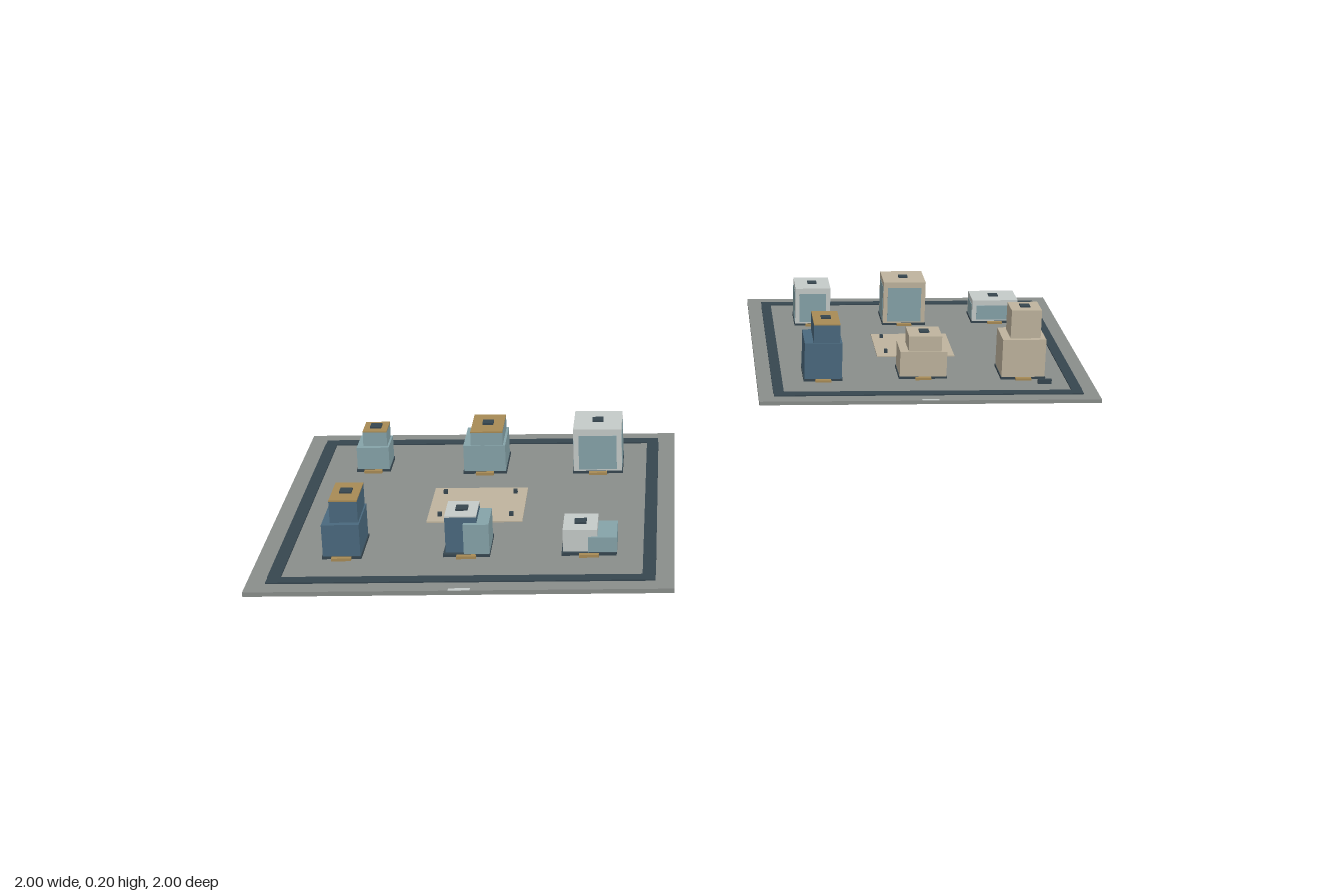
import * as THREE from 'three';

const COLORS = {
  ground: 0x8a8e8b, dark: 0x36464f, sand: 0xbfb49e, navy: 0x4a697e,
  mist: 0x86a3a9, white: 0xc5cbc9, ochre: 0xa88b55,
};
const materials = {};
for (const key in COLORS) materials[key] = new THREE.MeshStandardMaterial({ color: COLORS[key] });

const GROUND = 0.01;  // top of the ground slab
const PAD = 0.016;    // top of each foundation

// box given by its centre in plan and its bottom and top heights
function box(parent, name, color, x, z, w, d, y0, y1) {
  const mesh = new THREE.Mesh(new THREE.BoxGeometry(w, y1 - y0, d), materials[color]);
  mesh.position.set(x, (y0 + y1) / 2, z);
  mesh.name = name;
  parent.add(mesh);
  return mesh;
}

// glazed panels on the four walls, leaving a frame around them
function addPanels(parent, x, z, w, d, top) {
  const t = 0.002, y0 = PAD + 0.004, y1 = top - 0.016;
  for (const s of [-1, 1]) {
    box(parent, 'windowPanel', 'mist', x, z + s * d / 2, w - 0.024, t, y0, y1);
    box(parent, 'windowPanel', 'mist', x + s * w / 2, z, t, d - 0.024, y0, y1);
  }
}

// a building: body volume, optional taller tower, roof vent, foundation and doorstep
function addBuilding(parent, { name, pad, body, tower }) {
  const g = new THREE.Group();
  g.name = name;
  const [px, pz, pw, pd] = pad || [body.at[0], body.at[1], body.size[0] + 0.004, body.size[1] + 0.004];
  box(g, 'foundation', 'dark', px, pz, pw, pd, GROUND, PAD);
  box(g, 'doorstep', 'ochre', px, pz + pd / 2 + 0.005, 0.042, 0.012, GROUND, PAD);
  for (const [part, v] of [['body', body], ['tower', tower]]) {
    if (!v) continue;
    const [x, z] = v.at, [w, d, top] = v.size;
    box(g, part + 'Walls', v.wall, x, z, w, d, PAD, top - 0.003);
    box(g, part + 'Roof', v.roof || v.wall, x, z, w, d, top - 0.003, top);
    if (v.panels) addPanels(g, x, z, w, d, top);
  }
  const [vx, vz] = (tower || body).at, top = (tower || body).size[2];
  box(g, 'roofVent', 'dark', vx, vz, 0.026, 0.024, top, top + 0.004);
  parent.add(g);
}

// square slab with a dark ring path, a central plaza and four short posts
function addPlot(parent, cx, cz) {
  const g = new THREE.Group();
  g.name = 'plot';
  g.position.set(cx, 0, cz);
  box(g, 'groundSlab', 'ground', 0, 0, 0.89, 0.89, 0, GROUND);
  for (const s of [-1, 1]) {
    box(g, 'ringPath', 'dark', 0, s * 0.392, 0.81, 0.028, GROUND, 0.013);
    box(g, 'ringPath', 'dark', s * 0.392, 0, 0.028, 0.756, GROUND, 0.013);
    for (const t of [-1, 1]) box(g, 'plazaPost', 'dark', s * 0.08, t * 0.065, 0.009, 0.009, 0.012, 0.022);
  }
  box(g, 'plaza', 'sand', 0, 0, 0.213, 0.193, GROUND, 0.013);
  box(g, 'entranceSill', 'white', 0, 0.442, 0.045, 0.008, GROUND, 0.012);
  parent.add(g);
}

const BUILDINGS = [
  // back plot
  { name: 'whiteBlock', body: { at: [0.289, -0.8], size: [0.1, 0.112, 0.12], wall: 'white', panels: true } },
  { name: 'sandBlock', body: { at: [0.552, -0.8], size: [0.12, 0.114, 0.137], wall: 'sand', panels: true } },
  { name: 'lowWhiteBlock', body: { at: [0.816, -0.803], size: [0.13, 0.094, 0.078], wall: 'white', panels: true } },
  { name: 'navySteppedTower',
    body: { at: [0.286, -0.327], size: [0.1, 0.122, 0.115], wall: 'navy' },
    tower: { at: [0.295, -0.33], size: [0.07, 0.116, 0.166], wall: 'navy', roof: 'ochre' } },
  { name: 'sandSteppedHouse',
    body: { at: [0.554, -0.327], size: [0.125, 0.095, 0.085], wall: 'sand' },
    tower: { at: [0.558, -0.327], size: [0.088, 0.085, 0.127], wall: 'sand' } },
  { name: 'sandTallTower',
    body: { at: [0.82, -0.325], size: [0.115, 0.108, 0.12], wall: 'sand' },
    tower: { at: [0.824, -0.323], size: [0.08, 0.078, 0.197], wall: 'sand' } },
  // front plot
  { name: 'smallMistTower',
    body: { at: [-0.82, 0.306], size: [0.075, 0.08, 0.07], wall: 'mist' },
    tower: { at: [-0.815, 0.303], size: [0.056, 0.064, 0.107], wall: 'mist', roof: 'ochre' } },
  { name: 'mistSteppedHouse',
    body: { at: [-0.556, 0.303], size: [0.098, 0.121, 0.08], wall: 'mist' },
    tower: { at: [-0.55, 0.303], size: [0.075, 0.115, 0.114], wall: 'mist', roof: 'ochre' } },
  { name: 'whiteBlock', body: { at: [-0.29, 0.305], size: [0.113, 0.124, 0.12], wall: 'white', panels: true } },
  { name: 'navySteppedHouse',
    body: { at: [-0.82, 0.78], size: [0.08, 0.116, 0.088], wall: 'navy' },
    tower: { at: [-0.813, 0.775], size: [0.06, 0.1, 0.139], wall: 'navy', roof: 'ochre' } },
  { name: 'wingedNavyHouse', pad: [-0.555, 0.78, 0.1, 0.11],
    body: { at: [-0.533, 0.788], size: [0.055, 0.09, 0.084], wall: 'mist' },
    tower: { at: [-0.566, 0.782], size: [0.068, 0.084, 0.1], wall: 'navy', roof: 'white' } },
  { name: 'wingedWhiteHouse', pad: [-0.293, 0.78, 0.118, 0.106],
    body: { at: [-0.264, 0.784], size: [0.062, 0.09, 0.05], wall: 'mist' },
    tower: { at: [-0.312, 0.78], size: [0.074, 0.088, 0.066], wall: 'white' } },
];

export function createModel() {
  const model = new THREE.Group();
  model.name = 'townPlots';
  addPlot(model, 0.555, -0.555);
  addPlot(model, -0.555, 0.555);
  for (const b of BUILDINGS) addBuilding(model, b);
  // low bench beside the tall tower
  box(model, 'bench', 'dark', 0.872, -0.235, 0.036, 0.008, GROUND, 0.022);
  return model;
}
